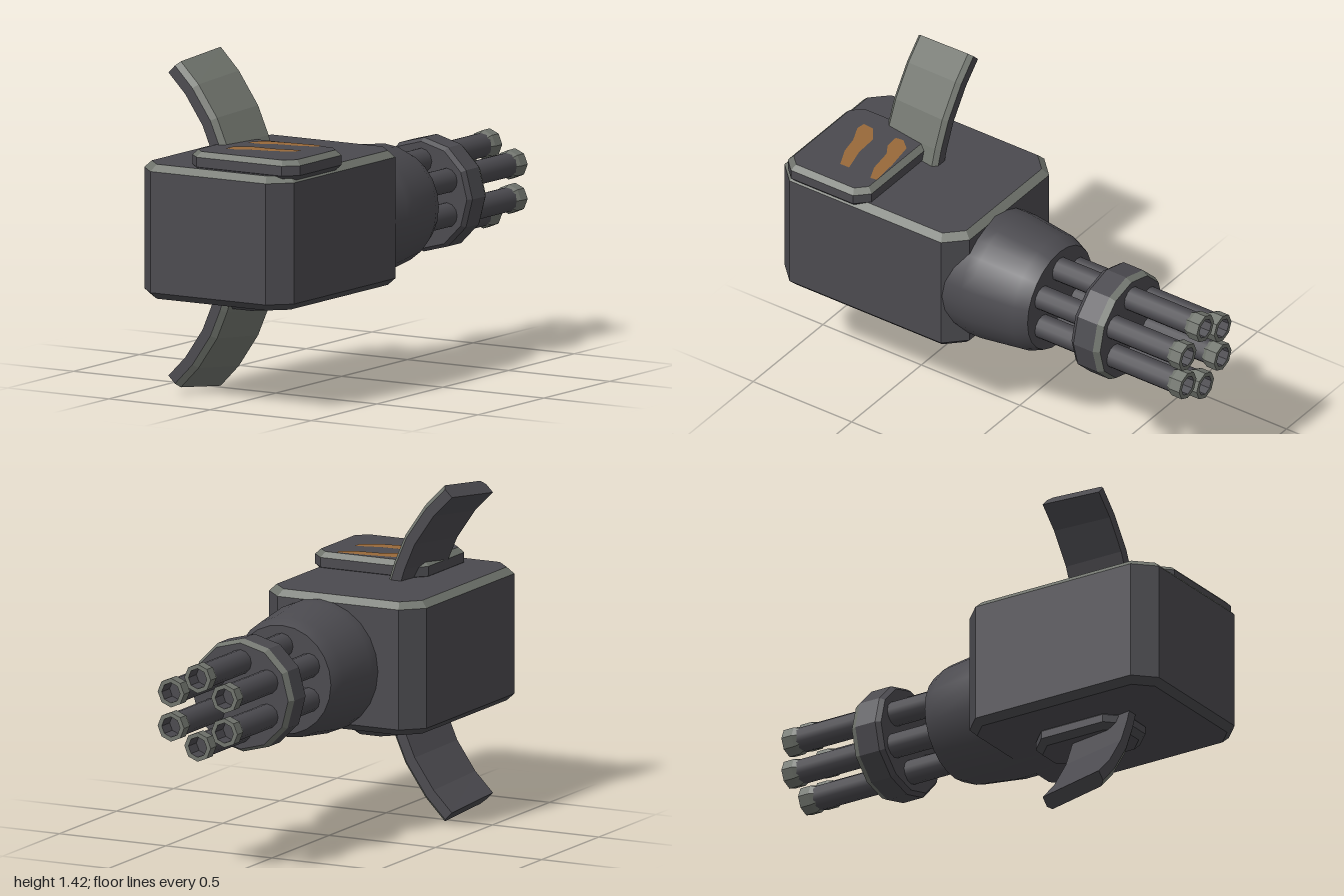
import * as THREE from 'three';

const dark = new THREE.MeshStandardMaterial({ color: 0x4b4a4f });
dark.name = 'dark metal';
const grey = new THREE.MeshStandardMaterial({ color: 0x70746d });
grey.name = 'worn grey';
const orange = new THREE.MeshStandardMaterial({ color: 0x98693a });
orange.name = 'orange paint';

const CX = 0.082, CY = 0.705; // barrel axis

function named(name, geometry, material) {
  const mesh = new THREE.Mesh(geometry, material);
  mesh.name = name;
  return mesh;
}

// Flat-shaded skin over matching rings, with end caps; isGrey(band, side) picks the colour
function loft(name, rings, isGrey) {
  const tris = [[], []];
  const n = rings[0].length;
  const add = (m, ...pts) => pts.forEach((p) => tris[m].push(...p));
  for (let i = 0; i < rings.length - 1; i++) {
    for (let j = 0; j < n; j++) {
      const k = (j + 1) % n, m = isGrey(i, j) ? 1 : 0;
      const a = rings[i][j], b = rings[i][k], c = rings[i + 1][k], d = rings[i + 1][j];
      add(m, a, b, c, a, c, d);
    }
  }
  const first = rings[0], last = rings[rings.length - 1];
  for (let j = 1; j < n - 1; j++) {
    add(0, first[0], first[j + 1], first[j]);
    add(0, last[0], last[j], last[j + 1]);
  }
  const g = new THREE.BufferGeometry();
  g.setAttribute('position', new THREE.Float32BufferAttribute([...tris[0], ...tris[1]], 3));
  g.addGroup(0, tris[0].length / 3, 0);
  g.addGroup(tris[0].length / 3, tris[1].length / 3, 1);
  g.computeVertexNormals();
  return named(name, g, [dark, grey]);
}

// Box with cut corners and bevelled top and bottom; the top bevel is worn grey
function block(name, [x0, x1], [y0, y1], [z0, z1], cut, bevel, greyTop = true) {
  const cx = (x0 + x1) / 2, cz = (z0 + z1) / 2;
  const ring = (y, inset) => {
    const w = (x1 - x0) / 2 - inset, d = (z1 - z0) / 2 - inset, c = cut - inset * 0.5;
    return [[w - c, d], [w, d - c], [w, c - d], [w - c, -d],
      [c - w, -d], [-w, c - d], [-w, d - c], [c - w, d]].map(([x, z]) => [cx + x, y, cz + z]);
  };
  const rings = [ring(y0, bevel), ring(y0 + bevel, 0), ring(y1 - bevel, 0), ring(y1, bevel)];
  return loft(name, rings, (band) => greyTop && band === 2);
}

// Turned part along -z; profile holds [radius, distance behind the origin]
function turned(name, profile, sides, material, flat) {
  let g = new THREE.LatheGeometry(profile.map(([r, y]) => new THREE.Vector2(r, y)), sides);
  g.rotateX(-Math.PI / 2);
  if (flat) {
    g = g.toNonIndexed();
    g.computeVertexNormals();
  }
  return named(name, g, material);
}

// Curved fin, twisted a little about its length, with grey inner face and bevels
function fin(name, lower) {
  const path = [[-0.13, 0.96], [-0.155, 1.04], [-0.2, 1.145], [-0.285, 1.268], [-0.368, 1.352]];
  const section = [[0, 0.15], [0.045, 0.15], [0.065, 0.13], [0.065, -0.13], [0.045, -0.15], [0, -0.15]];
  const rings = path.map(([x, y], i) => {
    const p = path[Math.max(i - 1, 0)], q = path[Math.min(i + 1, path.length - 1)];
    const t = new THREE.Vector2(q[0] - p[0], q[1] - p[1]).normalize();
    return section.map(([s, z]) => {
      const off = s + 0.0225 - 0.15 * z;
      const py = y - t.x * off;
      return [x + t.y * off, lower ? 1.43 - py : py, 0.6 + z];
    });
  });
  if (lower) rings.reverse();
  return loft(name, rings, (band, side) => side >= 1 && side <= 3);
}

function paintStreak(points) {
  const shape = new THREE.Shape(points.map(([x, z]) => new THREE.Vector2(x, -z)));
  const mesh = named('paintStreak', new THREE.ShapeGeometry(shape).rotateX(-Math.PI / 2), orange);
  mesh.position.y = 1.073;
  return mesh;
}

export function createModel() {
  const model = new THREE.Group();
  model.name = 'rotaryGun';

  // Housing with its plates
  model.add(
    block('housing', [-0.38, 0.36], [0.44, 1.005], [0.06, 1], 0.085, 0.028),
    block('topPlate', [-0.155, 0.377], [0.985, 1.07], [0.525, 0.95], 0.055, 0.022),
    block('bottomPlate', [-0.18, 0.1], [0.377, 0.46], [0.26, 0.725], 0.08, 0.025, false),
  );
  model.add(
    paintStreak([[-0.035, 0.655], [-0.04, 0.62], [0, 0.575], [0.13, 0.555], [0.255, 0.545],
      [0.26, 0.575], [0.19, 0.605], [0.08, 0.62], [0.03, 0.65]]),
    paintStreak([[-0.04, 0.82], [-0.035, 0.77], [0.03, 0.725], [0.135, 0.72], [0.25, 0.69],
      [0.25, 0.735], [0.16, 0.775], [0.08, 0.79], [0, 0.825]]),
  );

  // Fins
  model.add(fin('upperFin', false), fin('lowerFin', true));

  // Barrel assembly around its own axis
  const gun = new THREE.Group();
  gun.name = 'barrelAssembly';
  gun.position.set(CX, CY, 0);
  gun.add(
    turned('cowl', [[0.265, -0.36], [0.28, -0.05], [0.28, 0], [0.256, 0.2], [0.23, 0.26]], 24, dark),
    turned('cowlEnd', [[0.23, 0.26], [0, 0.26]], 24, dark),
    turned('clampRing', [[0, 0.48], [0.225, 0.48], [0.24, 0.5], [0.24, 0.598]], 12, dark, true),
    turned('clampRingEdge', [[0.24, 0.598], [0.225, 0.625]], 12, grey, true),
    turned('clampRingFace', [[0.225, 0.625], [0, 0.625]], 12, dark, true),
  );
  for (let i = 0; i < 6; i++) {
    const a = Math.PI / 6 + (i * Math.PI) / 3;
    const barrel = new THREE.Group();
    barrel.name = 'barrel';
    barrel.position.set(Math.cos(a) * 0.145, Math.sin(a) * 0.145, 0);
    barrel.add(
      turned('tube', [[0.052, 0.24], [0.052, 0.94]], 12, dark),
      turned('muzzle', [[0.052, 0.93], [0.062, 0.95], [0.062, 1], [0.043, 1]], 8, grey, true),
      turned('bore', [[0.043, 1], [0.043, 0.93], [0, 0.93]], 8, dark, true),
    );
    gun.add(barrel);
  }
  model.add(gun);
  return model;
}
